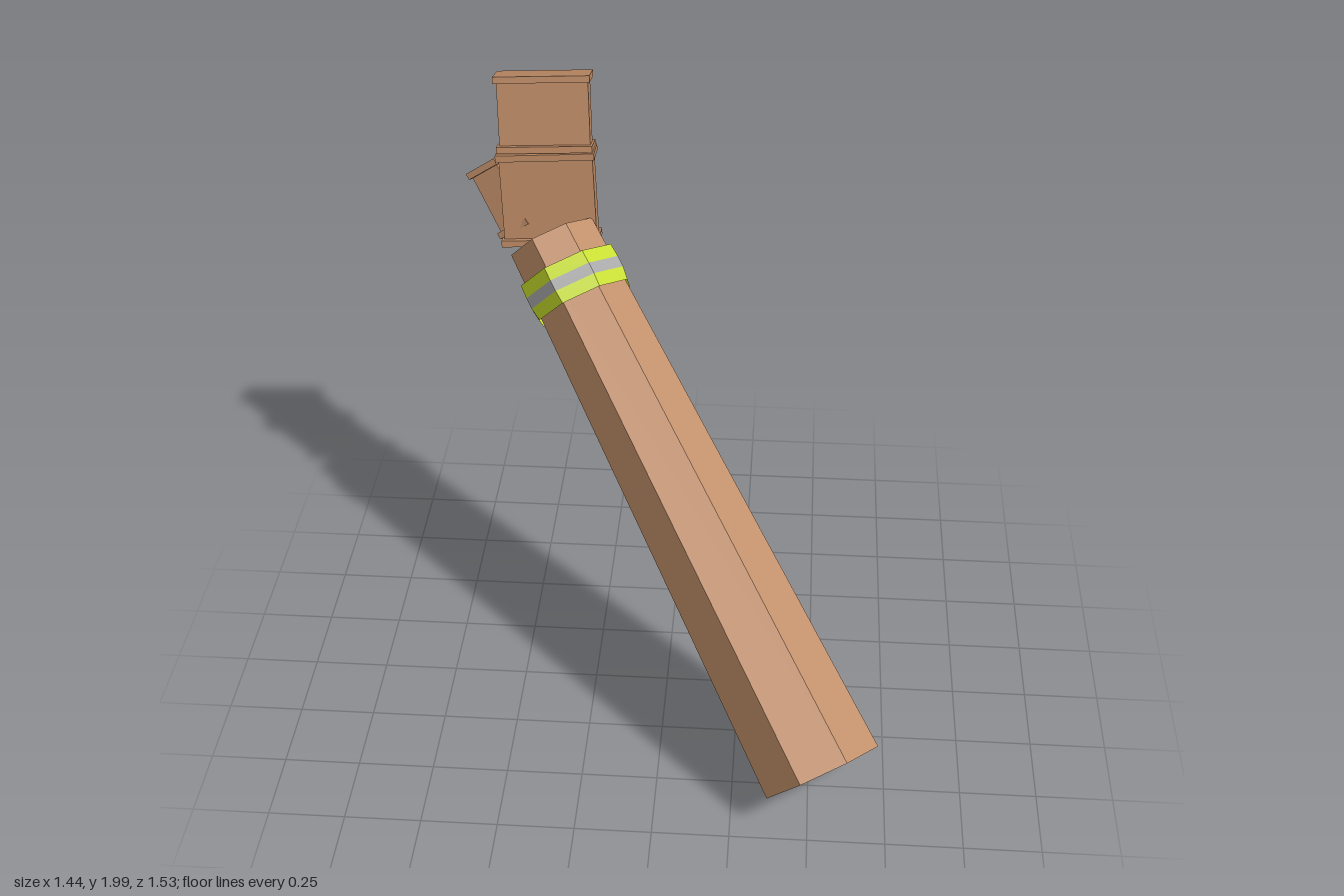
import * as THREE from 'three';

const V = (x, y, z) => new THREE.Vector3(x, y, z);
const material = (color, side = THREE.FrontSide) =>
  new THREE.MeshStandardMaterial({ color, side, flatShading: true });

// Arm axis and the two directions spanning its eight-sided cross-section
const elbow = V(0.54, 0.17, 0.592), wrist = V(-0.425, 1.44, -0.57);
const U = V(0.826, 0.566, 0).normalize(), W = V(-0.33, 0.47, 0.816).normalize();
const SIDES = 8;

function ringPoint(t, r, k) {
  const a = (k / SIDES) * Math.PI * 2;
  return elbow.clone().lerp(wrist, t)
    .addScaledVector(U, Math.cos(a) * r)
    .addScaledVector(W, Math.sin(a) * r);
}

// Skin a list of rings [t along the arm, radius], optionally closing both ends
function loft(rings, capped) {
  const pos = [];
  const tri = (...pts) => pts.forEach(p => pos.push(p.x, p.y, p.z));
  const first = rings[0], last = rings[rings.length - 1];
  for (let k = 0; k < SIDES; k++) {
    for (let i = 0; i < rings.length - 1; i++) {
      const a = ringPoint(...rings[i], k), b = ringPoint(...rings[i], k + 1);
      const c = ringPoint(...rings[i + 1], k + 1), d = ringPoint(...rings[i + 1], k);
      tri(a, d, c);
      tri(a, c, b);
    }
    if (capped) {
      tri(ringPoint(first[0], 0, 0), ringPoint(...first, k), ringPoint(...first, k + 1));
      tri(ringPoint(last[0], 0, 0), ringPoint(...last, k + 1), ringPoint(...last, k));
    }
  }
  const geometry = new THREE.BufferGeometry();
  geometry.setAttribute('position', new THREE.Float32BufferAttribute(pos, 3));
  geometry.computeVertexNormals();
  return geometry;
}

// Slab running from one point to another, with a wider lip at each end
function flangedSlab(name, from, to, across, width, depth, lipDepth, mat) {
  const group = new THREE.Group();
  group.name = name;
  const up = to.clone().sub(from);
  const length = up.length();
  up.normalize();
  const x = across.clone().addScaledVector(up, -across.dot(up)).normalize();
  const z = x.clone().cross(up);
  group.quaternion.setFromRotationMatrix(new THREE.Matrix4().makeBasis(x, up, z));
  group.position.copy(from);

  const add = (part, w, h, d, y) => {
    const mesh = new THREE.Mesh(new THREE.BoxGeometry(w, h, d), mat);
    mesh.name = part;
    mesh.position.y = y;
    group.add(mesh);
  };
  const lip = 0.022;
  add(name + 'Body', width, length - lip, depth, length / 2);
  add(name + 'LowerLip', width + 0.016, lip, lipDepth, lip / 2);
  add(name + 'UpperLip', width + 0.016, lip, lipDepth, length - lip / 2);
  return group;
}

export function createModel() {
  const model = new THREE.Group();
  model.name = 'arm';
  const skin = material(0xbf8c66);
  const yellow = material(0xc6dc2a, THREE.DoubleSide);
  const grey = material(0xa6a6a6, THREE.DoubleSide);

  const add = (name, geometry, mat) => {
    const mesh = new THREE.Mesh(geometry, mat);
    mesh.name = name;
    model.add(mesh);
  };

  // Tapering forearm
  add('forearm', loft([[0, 0.212], [1, 0.16]], true), skin);

  // Wrist band: two bright strips around a grey one
  add('bandLower', loft([[0.877, 0.174], [0.9, 0.181]], false), yellow);
  add('bandStripe', loft([[0.9, 0.181], [0.92, 0.181]], false), grey);
  add('bandUpper', loft([[0.92, 0.181], [0.944, 0.178]], false), yellow);

  // Palm, fingers and thumb
  const across = V(0.997, 0.08, -0.02);
  model.add(flangedSlab('palm', V(-0.43, 1.43, -0.585), V(-0.447, 1.742, -0.638),
    across, 0.312, 0.075, 0.12, skin));
  model.add(flangedSlab('fingers', V(-0.447, 1.74, -0.642), V(-0.458, 1.985, -0.705),
    across, 0.302, 0.068, 0.118, skin));
  model.add(flangedSlab('thumb', V(-0.54, 1.46, -0.605), V(-0.66, 1.652, -0.7),
    V(0.8, 0.55, 0.12), 0.105, 0.07, 0.1, skin));

  return model;
}
